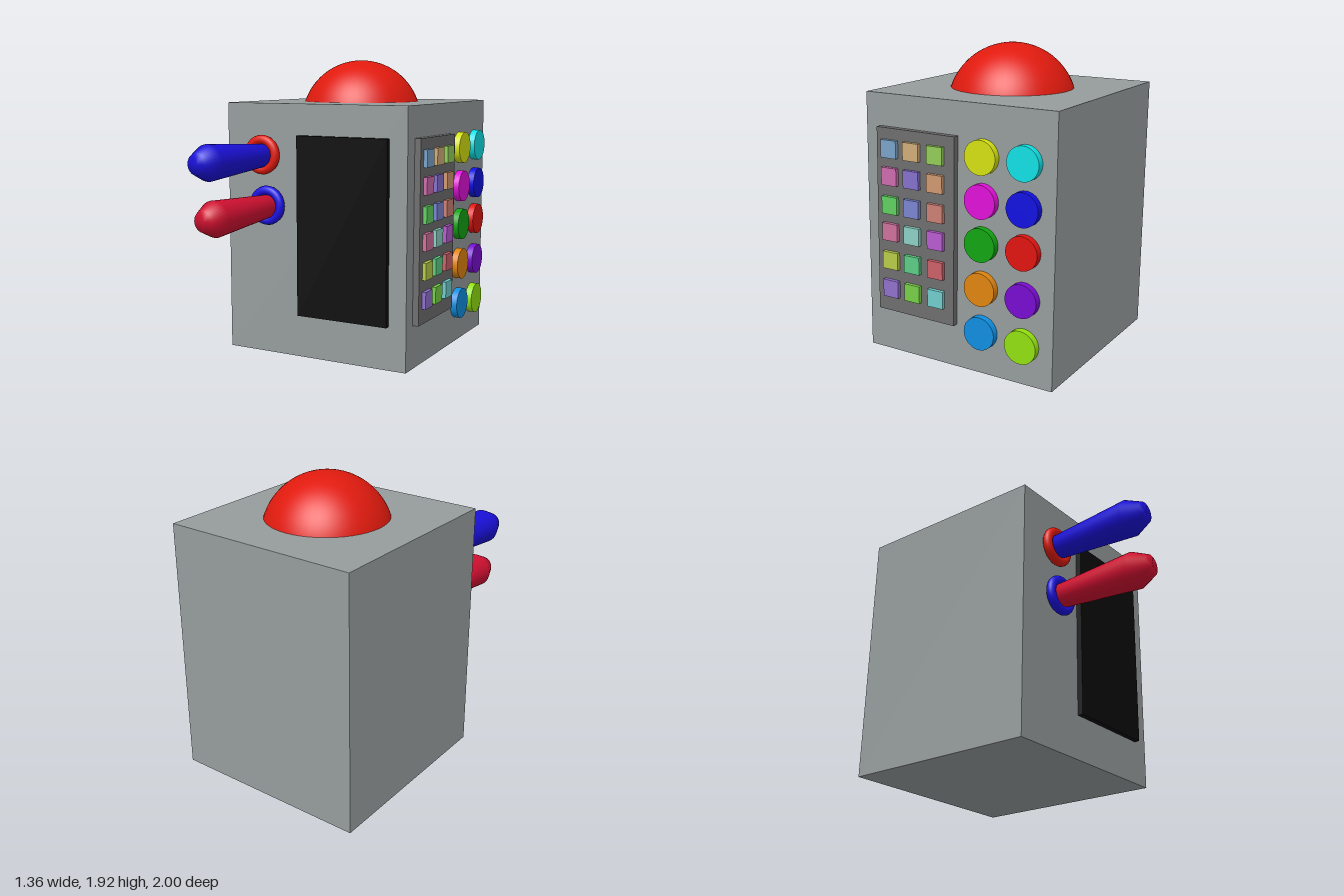
import * as THREE from 'three';

export function createModel() {
  const model = new THREE.Group();

  const add = (name, geometry, color, x, y, z, parent = model) => {
    const mesh = new THREE.Mesh(geometry, new THREE.MeshStandardMaterial({ color }));
    mesh.name = name;
    mesh.position.set(x, y, z);
    parent.add(mesh);
    return mesh;
  };
  const box = (w, h, d) => new THREE.BoxGeometry(w, h, d);

  // Cabinet and front screen
  add('cabinet', box(1.295, 1.645, 1.3), 0x969c9c, -0.0325, 0.8225, -0.35);
  add('screen', box(0.635, 1.165, 0.06), 0x0c0c0c, 0.1775, 0.8625, 0.305);

  // Domed lamp: spherical cap resting on the lid
  const R = 0.407, centreY = 1.513;
  const cap = new THREE.SphereGeometry(R, 48, 20, 0, Math.PI * 2, 0, Math.acos((1.64 - centreY) / R));
  add('domeLamp', cap, 0xe01a0e, -0.03, centreY, -0.35);

  // Levers: tapered grip with a chamfered end, plus a collar ring
  const gripProfile = [[0, 0], [0.071, 0], [0.113, 0.61], [0.066, 0.715], [0, 0.715]]
    .map(([r, y]) => new THREE.Vector2(r, y));
  const levers = [
    { name: 'upperLever', grip: 0x1a10d8, ring: 0xe01a0e, base: [-0.395, 1.31], end: [-0.419, 1.307] },
    { name: 'lowerLever', grip: 0xd01030, ring: 0x1a10e0, base: [-0.36, 0.983], end: [-0.379, 0.971] },
  ];
  for (const { name, grip, ring, base, end } of levers) {
    const lever = new THREE.Group();
    lever.name = name;
    model.add(lever);
    const handle = add('grip', new THREE.LatheGeometry(gripProfile, 32), grip, base[0], base[1], 0.285, lever);
    const axis = new THREE.Vector3(end[0] - base[0], end[1] - base[1], 0.66).normalize();
    handle.quaternion.setFromUnitVectors(new THREE.Vector3(0, 1, 0), axis);
    add('collar', new THREE.TorusGeometry(0.098, 0.03, 14, 40), ring, base[0], base[1] + 0.005, 0.338, lever);
  }

  // Keypad on the left side: backing plate with 3 x 6 square keys
  const keypad = new THREE.Group();
  keypad.name = 'keypad';
  model.add(keypad);
  const plate = add('keypadPlate', box(0.06, 1.165, 0.555), 0x6e6e6e, 0.625, 0.861, -0.077, keypad);
  plate.rotation.x = -0.006;
  const keyColors = [
    [0x7aa3c9, 0xcfac78, 0x92cc58],
    [0xcc6cac, 0x8470cc, 0xd09870],
    [0x60d060, 0x7a84d0, 0xcc8074],
    [0xd0709c, 0x8cd0c4, 0xb85cd0],
    [0xb8cc48, 0x5ccc84, 0xcc6068],
    [0x9070cc, 0x78d048, 0x70cccc],
  ];
  const keyY = [1.32, 1.15, 0.97, 0.8, 0.617, 0.433];
  const keyZ = [0.097, -0.063, -0.233];
  keyColors.forEach((row, i) => row.forEach((color, j) =>
    add('key', box(0.06, 0.11, 0.11), color, 0.65, keyY[i], keyZ[j], keypad)));

  // Two columns of round buttons beside the keypad
  const buttons = new THREE.Group();
  buttons.name = 'roundButtons';
  model.add(buttons);
  const disc = new THREE.CylinderGeometry(0.103, 0.103, 0.06, 40).rotateZ(-Math.PI / 2);
  const columns = [
    { z: -0.53, y: [1.34, 1.08, 0.82, 0.547, 0.27], colors: [0xd4e010, 0xe010d8, 0x12a412, 0xe08410, 0x108ee0] },
    { z: -0.808, y: [1.34, 1.075, 0.82, 0.533, 0.248], colors: [0x10e0e4, 0x1010e0, 0xe01410, 0x780cd0, 0x92e010] },
  ];
  for (const { z, y, colors } of columns) {
    colors.forEach((color, i) => add('roundButton', disc, color, 0.63, y[i], z, buttons));
  }

  return model;
}
